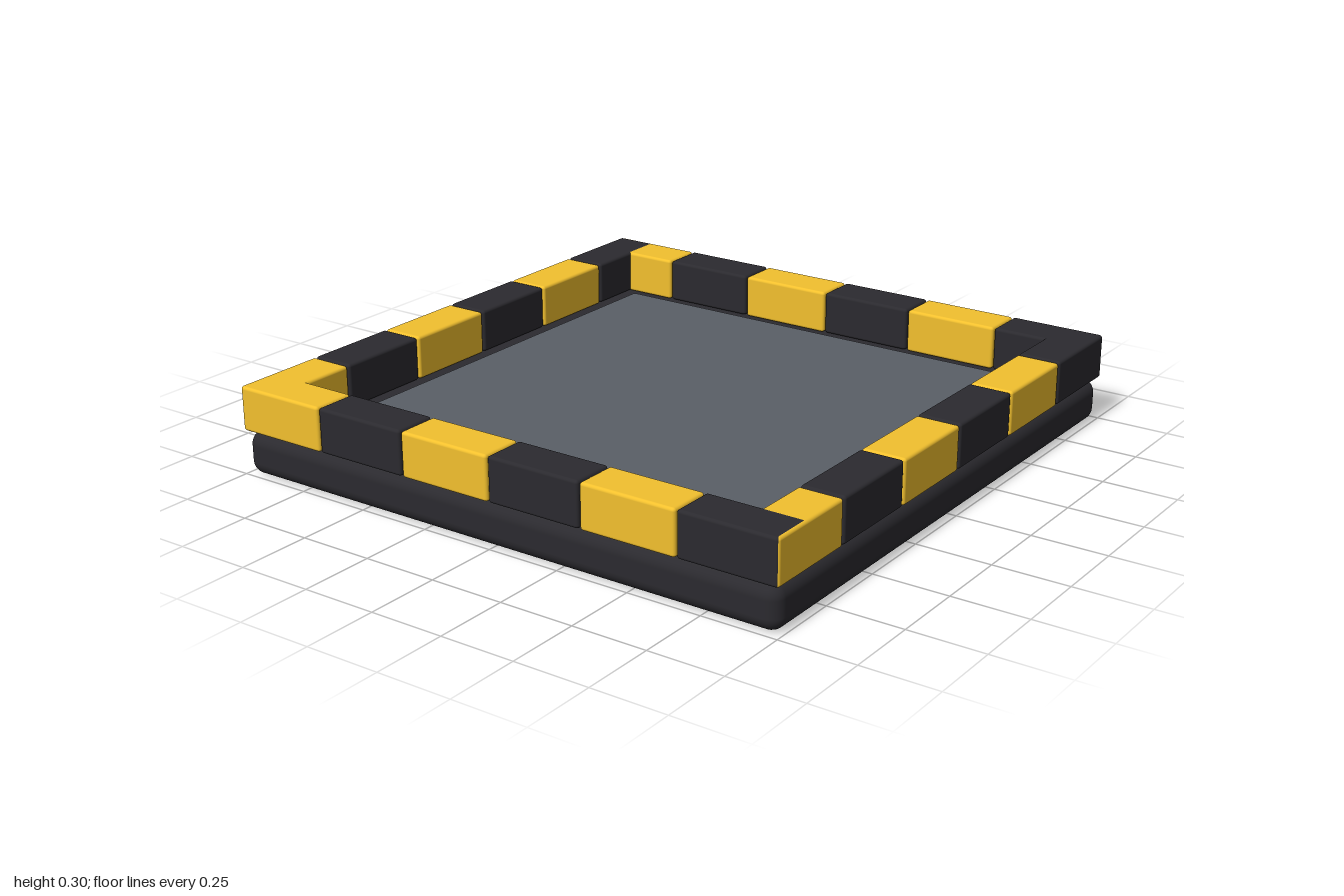
import * as THREE from 'three';
import { RoundedBoxGeometry } from 'three/addons/geometries/RoundedBoxGeometry.js';

const yellow = new THREE.MeshStandardMaterial({ color: 0xf2c02e });
const dark = new THREE.MeshStandardMaterial({ color: 0x2b2a2f });
const grey = new THREE.MeshStandardMaterial({ color: 0x5a5f67 });

function roundedBox(name, size, radius, position, material) {
  const mesh = new THREE.Mesh(new RoundedBoxGeometry(...size, 4, radius), material);
  mesh.name = name;
  mesh.position.set(...position);
  return mesh;
}

export function createModel() {
  const model = new THREE.Group();
  model.name = 'stripedPlatform';

  // Base slab and the inset floor panel
  model.add(roundedBox('base', [1.99, 0.145, 1.99], 0.045, [0, 0.0725, 0], dark));
  model.add(roundedBox('floorPanel', [1.58, 0.04, 1.58], 0.012, [0, 0.15, 0], grey));

  // Raised border: six alternating blocks along each side, overlapping at the corners
  const count = 6, pitch = 2 / count, length = 0.328, width = 0.147, height = 0.148;
  const edge = 1 - width / 2;
  const border = new THREE.Group();
  border.name = 'border';
  for (let i = 0; i < count; i++) {
    const along = -1 + pitch * (i + 0.5);
    const material = i % 2 ? dark : yellow;
    // Dark blocks sit a hair higher so they cover the shared corners cleanly
    const y = 0.222 + (i % 2 ? 0.0006 : 0);
    for (const side of [-1, 1]) {
      border.add(roundedBox(side > 0 ? 'frontBlock' : 'backBlock',
        [length, height, width], 0.01, [along, y, side * edge], material));
      border.add(roundedBox(side > 0 ? 'leftBlock' : 'rightBlock',
        [width, height, length], 0.01, [side * edge, y, along], material));
    }
  }
  model.add(border);
  return model;
}
